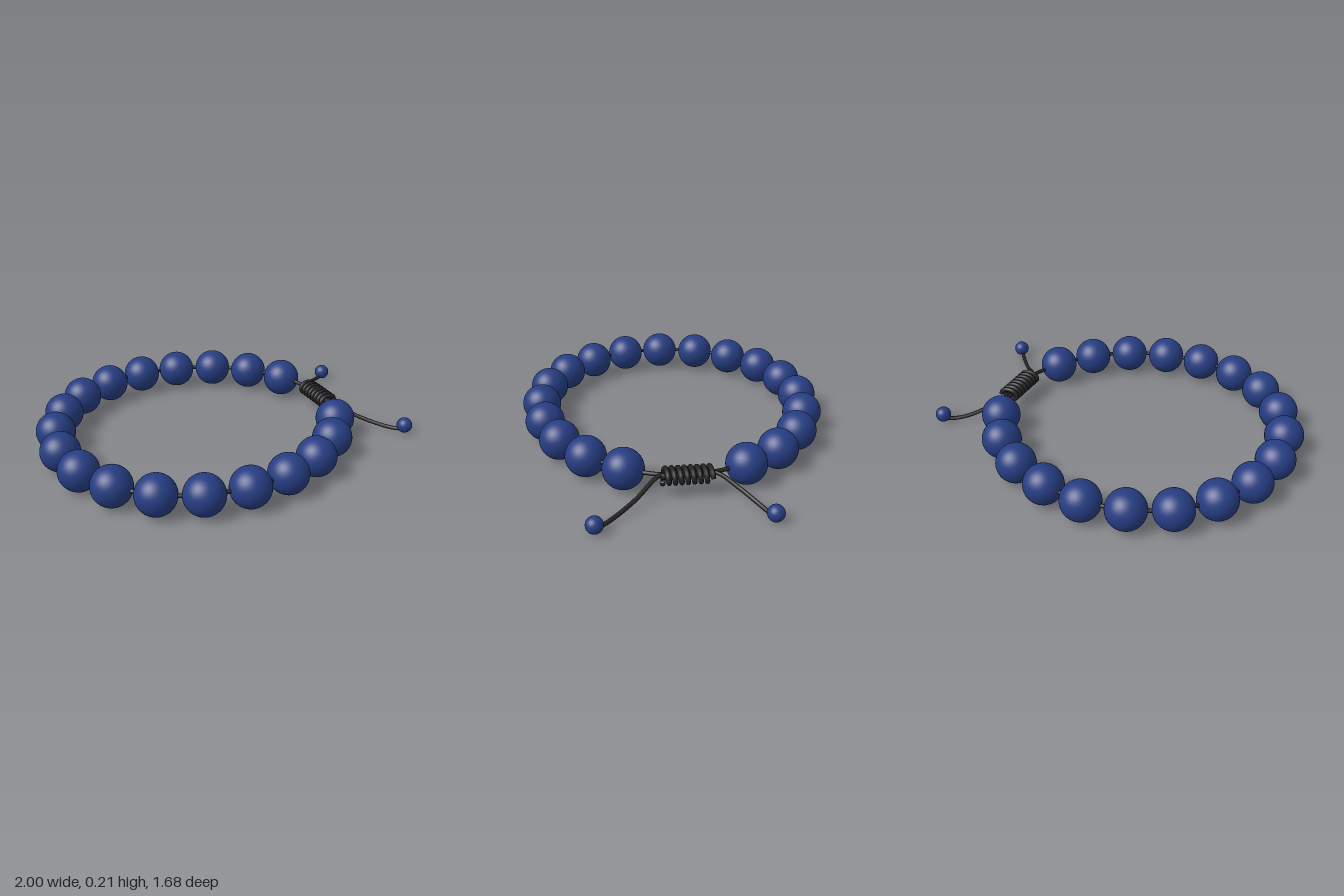
import * as THREE from 'three';

const beadBlue = new THREE.MeshStandardMaterial({ color: 0x263d82 });
beadBlue.name = 'bead blue';
const cordBlack = new THREE.MeshStandardMaterial({ color: 0x242424 });
cordBlack.name = 'cord black';

const Y = 0.107; // height of the cord plane

// bead centres [x, z] around the loop, from the back of the knot to its front
const BEADS = [
  [0.594, -0.308], [0.463, -0.495], [0.281, -0.634], [0.067, -0.714], [-0.158, -0.738],
  [-0.382, -0.695], [-0.586, -0.591], [-0.746, -0.428], [-0.853, -0.227], [-0.895, 0],
  [-0.869, 0.225], [-0.77, 0.43], [-0.61, 0.594], [-0.406, 0.695], [-0.179, 0.73],
  [0.045, 0.703], [0.259, 0.62], [0.444, 0.484], [0.583, 0.302],
];

export function createModel() {
  const group = new THREE.Group();
  group.name = 'beadBracelet';

  const add = (name, geometry, material, x = 0, y = 0, z = 0) => {
    const mesh = new THREE.Mesh(geometry, material);
    mesh.name = name;
    mesh.position.set(x, y, z);
    group.add(mesh);
  };
  const cord = (name, points, radius, segments, closed = false) => {
    const curve = new THREE.CatmullRomCurve3(points.map((p) => new THREE.Vector3(...p)), closed);
    add(name, new THREE.TubeGeometry(curve, segments, radius, 8, closed), cordBlack);
  };

  // main beads
  const beadGeometry = new THREE.SphereGeometry(0.106, 40, 28);
  BEADS.forEach(([x, z], i) => add(`bead${i + 1}`, beadGeometry, beadBlue, x, Y, z));

  // cord threaded through the beads and the knot
  const loop = BEADS.map(([x, z]) => [x, Y, z]);
  loop.push([0.637, Y, 0.19], [0.66, Y, 0.1], [0.66, Y, -0.1], [0.642, Y, -0.19]);
  cord('loopCord', loop, 0.011, 200, true);

  // wrapped sliding knot: a slightly flattened coil
  const coil = [];
  const TURNS = 8, STEPS = 14;
  for (let i = 0; i <= TURNS * STEPS; i++) {
    const a = (i / STEPS) * Math.PI * 2;
    coil.push([0.668 + 0.048 * Math.cos(a), Y - 0.002 + 0.033 * Math.sin(a),
      -0.126 + (0.248 * i) / (TURNS * STEPS)]);
  }
  cord('knotCoil', coil, 0.013, 320);
  cord('knotCore', [[0.672, Y, -0.13], [0.676, Y, 0], [0.672, Y, 0.125]], 0.017, 12);

  // loose tails, each ending in a small bead
  cord('backTail', [[0.66, 0.11, -0.1], [0.675, 0.107, -0.155], [0.75, 0.062, -0.25],
    [0.83, 0.03, -0.32], [0.9, 0.018, -0.364], [0.945, 0.022, -0.385]], 0.011, 40);
  cord('frontTail', [[0.655, 0.11, 0.09], [0.675, 0.105, 0.142], [0.78, 0.05, 0.255],
    [0.87, 0.022, 0.355], [0.92, 0.016, 0.412], [0.955, 0.022, 0.45]], 0.011, 40);
  const endGeometry = new THREE.SphereGeometry(0.043, 28, 20);
  add('backEndBead', endGeometry, beadBlue, 0.945, 0.045, -0.385);
  add('frontEndBead', endGeometry, beadBlue, 0.956, 0.045, 0.45);

  return group;
}
